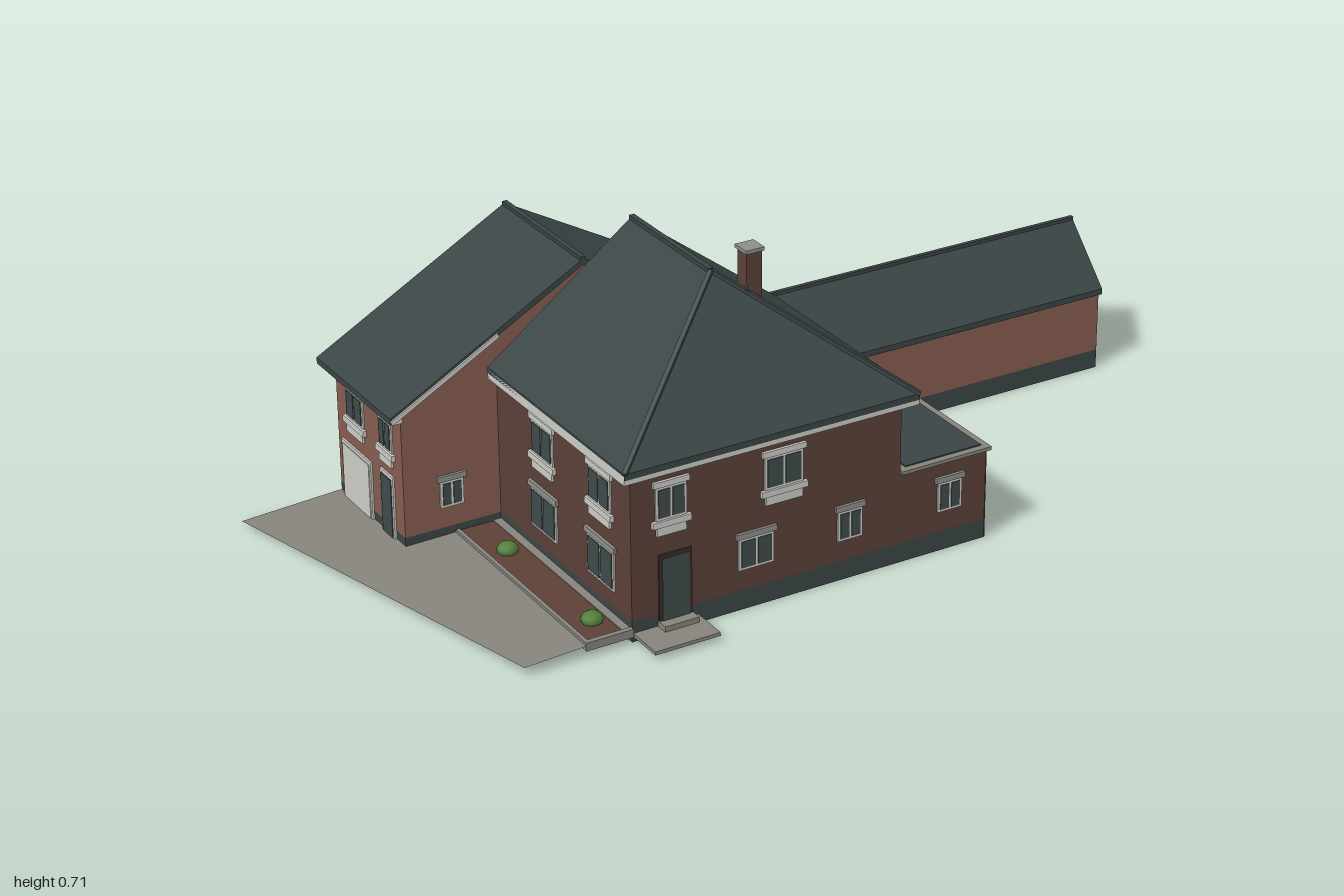
import * as THREE from 'three';

const mat = (name, color, side = THREE.DoubleSide) => {
  const m = new THREE.MeshStandardMaterial({ color, side });
  m.name = name;
  return m;
};

export function createModel() {
  const darkBrick = mat('dark brick', 0x5c4039), lightBrick = mat('light brick', 0x865c4f);
  const slate = mat('slate', 0x3b4545), trim = mat('pale trim', 0xcbccc6);
  const glass = mat('glass', 0x3f4a4a), paving = mat('paving', 0x85837b);
  const lintelGrey = mat('lintel grey', 0x8d8f8a), soil = mat('soil', 0x5e4038);
  const leaf = mat('leaf', 0x4f7d38), doorBrown = mat('door brown', 0x3f2c28);

  // The house stands turned on its plot; everything is built square inside this group.
  const model = new THREE.Group();
  const house = new THREE.Group();
  house.name = 'house';
  house.rotation.y = -0.1326;
  model.add(house);

  const add = (parent, name, geo, material) => {
    const m = new THREE.Mesh(geo, material);
    m.name = name;
    parent.add(m);
    return m;
  };
  // Box given by its minimum and maximum corners
  const box = (name, material, x0, x1, y0, y1, z0, z1, parent = house) => {
    const m = add(parent, name, new THREE.BoxGeometry(x1 - x0, y1 - y0, z1 - z0), material);
    m.position.set((x0 + x1) / 2, (y0 + y1) / 2, (z0 + z1) / 2);
    return m;
  };
  // Beam between two points
  const beam = (name, material, p, q, w) => {
    const a = new THREE.Vector3(...p), b = new THREE.Vector3(...q);
    const m = add(house, name, new THREE.BoxGeometry(w, w * 0.8, a.distanceTo(b)), material);
    m.position.copy(a).add(b).multiplyScalar(0.5);
    m.lookAt(b.clone().applyEuler(house.rotation));
  };
  // Sloping sheet with slate on top and edges, pale underneath
  const roofSheet = (name, pts, t = 0.014, under = trim) => {
    const n = pts.length, pos = [], low = pts.map(([x, y, z]) => [x, y - t, z]);
    const tri = (...c) => c.forEach(p => pos.push(...p));
    for (let i = 0; i < n; i++) {
      const j = (i + 1) % n;
      tri(pts[i], low[i], low[j]);
      tri(pts[i], low[j], pts[j]);
    }
    for (let i = 1; i < n - 1; i++) tri(pts[0], pts[i], pts[i + 1]);
    const split = pos.length / 3;
    for (let i = 1; i < n - 1; i++) tri(low[0], low[i + 1], low[i]);
    const g = new THREE.BufferGeometry();
    g.setAttribute('position', new THREE.Float32BufferAttribute(pos, 3));
    g.addGroup(0, split, 0);
    g.addGroup(split, pos.length / 3 - split, 1);
    g.computeVertexNormals();
    add(house, name, g, [slate, under]);
  };

  // A facade: local +z faces outward, s is the house coordinate along the wall
  const turns = { front: 0, right: Math.PI / 2, back: Math.PI, left: -Math.PI / 2 };
  const facade = (name, dir, at) => {
    const g = new THREE.Group();
    g.name = name;
    g.rotation.y = turns[dir];
    if (dir === 'front' || dir === 'back') g.position.z = at; else g.position.x = at;
    house.add(g);
    const sign = dir === 'front' || dir === 'left' ? 1 : -1;
    const part = (label, m, s, w, y0, y1, d0, d1) =>
      box(label, m, sign * s - w / 2, sign * s + w / 2, y0, y1, d0, d1, g);
    const f = {
      part,
      wall(material, pts) {
        const shape = new THREE.Shape(pts.map(([s, y]) => new THREE.Vector2(sign * s, y)));
        add(g, name + 'Wall', new THREE.ShapeGeometry(shape), material);
        return f;
      },
      plinth(s0, s1) {
        const shape = [[s0, 0], [s1, 0], [s1, 0.045], [s0, 0.045]];
        return f.wall(slate, shape);
      },
      window(s, w, y0, y1, { panes = 2, lintel = lintelGrey, sill = false } = {}) {
        part('windowFrame', trim, s, w, y0, y1, 0.0005, 0.004);
        const b = 0.006, pw = (w - b * (panes + 1)) / panes;
        for (let i = 0; i < panes; i++)
          part('windowPane', glass, s - w / 2 + b + pw / 2 + i * (pw + b), pw, y0 + b, y1 - b, -0.003, 0.006);
        if (lintel) part('lintel', lintel, s, w + 0.012, y1, y1 + 0.013, 0.0005, 0.007);
        if (sill) {
          part('sill', trim, s, w + 0.018, y0 - 0.014, y0, 0.0005, 0.009);
          part('sillPanel', trim, s, w - 0.004, y0 - 0.034, y0 - 0.014, 0.0005, 0.006);
        }
        return f;
      },
      door(s, w, y0, y1, frame, leafMat) {
        part('doorFrame', frame, s, w, y0, y1, 0.0005, 0.005);
        part('doorLeaf', leafMat, s, w - 0.014, y0, y1 - 0.008, -0.003, 0.007);
        return f;
      },
    };
    return f;
  };
  const rect = (s0, s1, y0, y1) => [[s0, y0], [s1, y0], [s1, y1], [s0, y1]];

  // Main house and side extension
  const upper = { sill: true, lintel: trim };
  facade('mainFront', 'front', 0.48)
    .wall(darkBrick, [[-0.6, 0.045], [0.258, 0.045], [0.258, 0.21], [0.043, 0.21], [0.043, 0.38], [-0.6, 0.38]])
    .plinth(-0.6, 0.258)
    .window(-0.508, 0.072, 0.26, 0.335, upper).window(-0.243, 0.092, 0.26, 0.335, upper)
    .window(-0.309, 0.084, 0.093, 0.165).window(-0.082, 0.06, 0.093, 0.162)
    .window(0.166, 0.06, 0.093, 0.162)
    .door(-0.5, 0.077, 0.03, 0.182, doorBrown, glass);
  facade('mainRight', 'right', 0.043).wall(darkBrick, rect(-0.06, 0.48, 0.2, 0.38))
    .window(0.329, 0.076, 0.258, 0.335, upper).window(0.087, 0.078, 0.258, 0.335, upper);
  facade('mainLeft', 'left', -0.6).wall(darkBrick, rect(-0.08, 0.48, 0.045, 0.38)).plinth(-0.08, 0.48)
    .window(0.36, 0.09, 0.258, 0.335, upper).window(0.12, 0.09, 0.258, 0.335, upper)
    .window(0.36, 0.11, 0.085, 0.175).window(0.12, 0.11, 0.085, 0.175);
  facade('mainBackGable', 'back', -0.06)
    .wall(darkBrick, [[-0.6, 0.38], [0, 0.38], [0, 0.2], [0.043, 0.2], [0.043, 0.38], [-0.278, 0.645]]);
  facade('extensionRight', 'right', 0.26).wall(darkBrick, rect(-0.07, 0.48, 0.045, 0.21)).plinth(-0.07, 0.48)
    .window(0.297, 0.164, 0.056, 0.188).window(0.068, 0.074, 0.086, 0.168);
  box('extensionRoof', paving, 0.043, 0.267, 0.208, 0.216, -0.07, 0.488);
  box('extensionRoofCover', slate, 0.06, 0.25, 0.206, 0.219, -0.06, 0.472);

  // Main roof, hipped in front and gabled behind
  const [L, R, B, F, E, T] = [-0.627, 0.07, -0.067, 0.507, 0.398, 0.66];
  const apex = [-0.278, T, 0.256], ridgeBack = [-0.278, T, B];
  roofSheet('mainRoofLeft', [[L, E, B], [L, E, F], apex, ridgeBack]);
  roofSheet('mainRoofFront', [[L, E, F], [R, E, F], apex]);
  roofSheet('mainRoofRight', [[R, E, F], [R, E, B], ridgeBack, apex]);
  beam('mainRidge', slate, apex, ridgeBack, 0.012);
  beam('hipLeft', slate, apex, [L, E, F], 0.01);
  beam('hipRight', slate, apex, [R, E, F], 0.01);
  box('eavesLeft', trim, L, -0.598, 0.372, 0.393, B, F - 0.002);
  box('eavesRight', trim, 0.041, R, 0.372, 0.393, B, F - 0.002);
  box('eavesFront', trim, -0.6, 0.043, 0.372, 0.393, 0.478, F - 0.002);

  // Chimney
  box('chimney', darkBrick, -0.22, -0.184, 0.56, 0.7, 0.265, 0.301);
  box('chimneyCap', lintelGrey, -0.224, -0.18, 0.7, 0.708, 0.261, 0.305);

  // Rear wing
  const peak = [-0.395, 0.574];
  facade('wingFront', 'front', -0.08)
    .wall(lightBrick, [[-0.826, 0.045], [-0.6, 0.045], [-0.6, 0.36], [0, 0.355], peak, [-0.826, 0.336]])
    .plinth(-0.826, -0.6).window(-0.715, 0.055, 0.093, 0.155);
  facade('wingBack', 'back', -0.387)
    .wall(lightBrick, [[-0.826, 0.045], [0.01, 0.045], [0.01, 0.35], peak, [-0.826, 0.336]])
    .plinth(-0.826, 0.01)
    .window(-0.25, 0.065, 0.245, 0.31).window(-0.25, 0.065, 0.09, 0.155).window(-0.55, 0.065, 0.245, 0.31);
  facade('wingRight', 'right', 0.01).wall(lightBrick, rect(-0.387, -0.08, 0.045, 0.355)).plinth(-0.387, -0.08);
  facade('wingLeft', 'left', -0.826).wall(lightBrick, rect(-0.387, -0.08, 0.045, 0.338)).plinth(-0.387, -0.08)
    .door(-0.295, 0.14, 0.02, 0.16, trim, trim).door(-0.15, 0.06, 0.025, 0.17, trim, glass)
    .window(-0.295, 0.08, 0.225, 0.295, upper).window(-0.15, 0.06, 0.225, 0.295, upper);
  const wingRidge = [[-0.395, 0.59, -0.417], [-0.395, 0.59, -0.068]];
  roofSheet('wingRoofLeft', [[-0.855, 0.335, -0.417], [-0.855, 0.335, -0.068], wingRidge[1], wingRidge[0]]);
  roofSheet('wingRoofRight', [[0.033, 0.352, -0.068], [0.033, 0.352, -0.417], wingRidge[0], wingRidge[1]]);
  beam('wingRidge', slate, ...wingRidge, 0.012);
  beam('wingBargeFront', trim, [-0.853, 0.325, -0.07], [-0.6, 0.465, -0.07], 0.012);
  box('wingEavesBoard', trim, -0.852, -0.826, 0.318, 0.332, -0.41, -0.07);

  // Long low annex
  facade('annexFront', 'front', -0.071).wall(lightBrick, rect(0.26, 0.954, 0.045, 0.195)).plinth(0.26, 0.954);
  facade('annexBack', 'back', -0.294).wall(lightBrick, rect(0.01, 0.954, 0.045, 0.205)).plinth(0.01, 0.954)
    .door(0.2, 0.055, 0.045, 0.175, trim, lintelGrey).window(0.7, 0.065, 0.11, 0.155);
  facade('annexEnd', 'right', 0.954)
    .wall(lightBrick, [[-0.294, 0.045], [-0.071, 0.045], [-0.071, 0.195], [-0.192, 0.32], [-0.294, 0.208]])
    .plinth(-0.294, -0.071);
  const annexRidge = [[0.012, 0.332, -0.192], [0.96, 0.332, -0.192]];
  roofSheet('annexRoofFront', [[0.012, 0.2, -0.066], [0.96, 0.2, -0.066], annexRidge[1], annexRidge[0]]);
  roofSheet('annexRoofBack', [[0.96, 0.195, -0.318], [0.012, 0.195, -0.318], annexRidge[0], annexRidge[1]]);
  beam('annexRidge', slate, ...annexRidge, 0.01);

  // Driveway, doorstep and planting bed
  const drive = new THREE.BufferGeometry();
  drive.setAttribute('position', new THREE.Float32BufferAttribute([
    -1.061, 0.01, -0.39, -0.826, 0.025, -0.387, -0.826, 0.025, -0.08,
    -0.705, 0.027, -0.08, -0.709, 0.027, 0.487, -0.849, 0.02, 0.487], 3));
  drive.setIndex([0, 2, 1, 0, 5, 2, 2, 5, 4, 2, 4, 3]);
  drive.computeVertexNormals();
  add(house, 'driveway', drive, paving);
  box('doorstepPad', paving, -0.597, -0.445, 0.012, 0.02, 0.48, 0.568);
  box('doorstep', paving, -0.54, -0.46, 0.02, 0.032, 0.48, 0.51);
  box('plantingBed', soil, -0.7, -0.62, 0.02, 0.03, -0.078, 0.475);
  box('bedKerbSide', paving, -0.709, -0.7, 0.015, 0.034, -0.078, 0.487);
  box('bedKerbFront', paving, -0.7, -0.6, 0.015, 0.034, 0.475, 0.487);
  box('bedKerbWall', paving, -0.62, -0.601, 0.015, 0.032, -0.078, 0.475);
  for (const [x, z] of [[-0.658, 0.058], [-0.652, 0.408]]) {
    const shrub = add(house, 'shrub', new THREE.IcosahedronGeometry(0.024, 1), leaf);
    shrub.scale.y = 0.7;
    shrub.position.set(x, 0.036, z);
  }
  return model;
}
